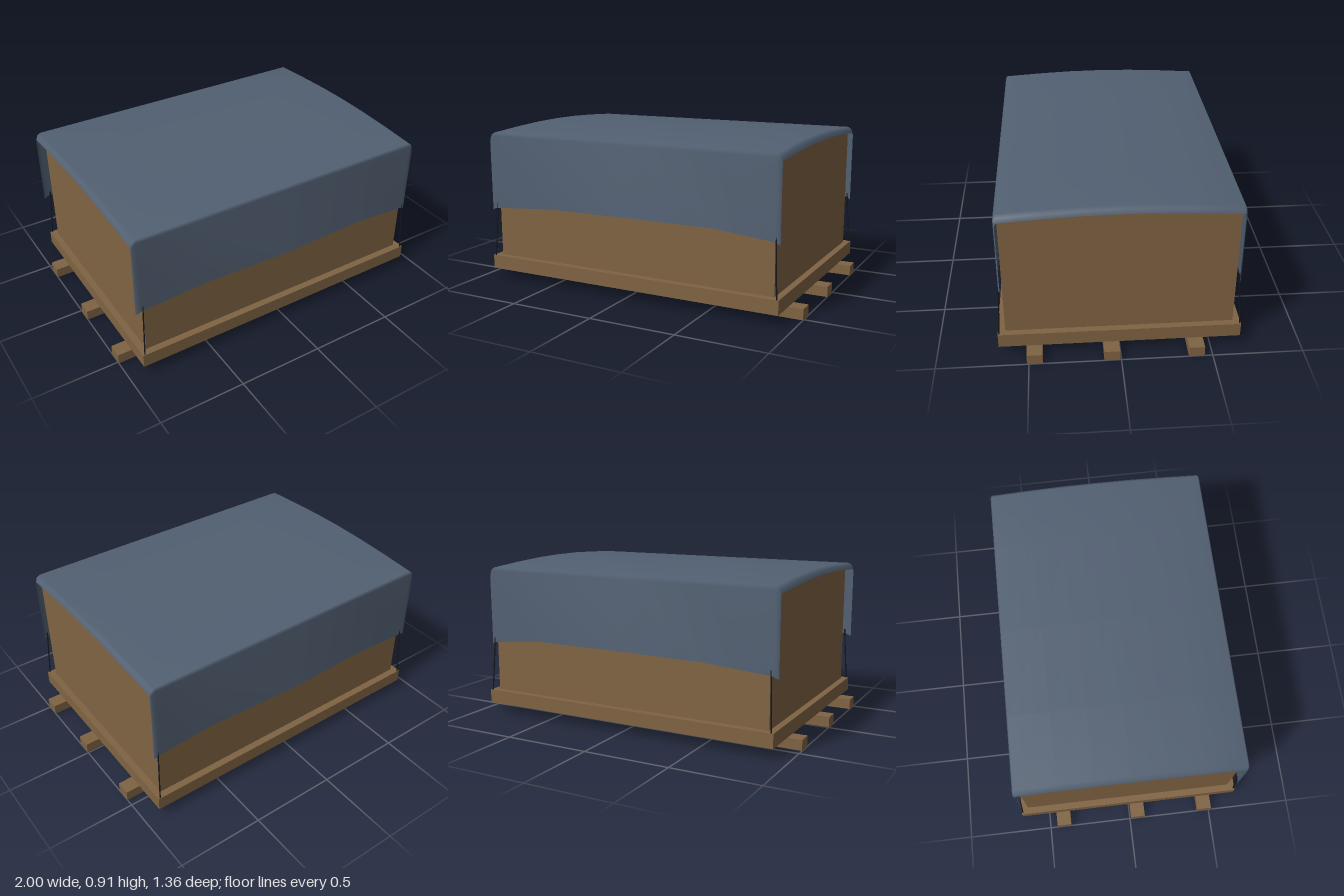
import * as THREE from 'three';

const wood = new THREE.MeshStandardMaterial({ color: 0x806443 });
wood.name = 'wood';
const tarp = new THREE.MeshStandardMaterial({ color: 0x526072, side: THREE.DoubleSide });
tarp.name = 'tarpBlue';
const dark = new THREE.MeshStandardMaterial({ color: 0x15181c });
dark.name = 'ropeDark';

// Tarp stations across the width: x, roof drop, hem height, hem bulge in z, inward fold
const columns = [
  [-0.93, 0.037, 0.415, 0.638, 0.006],
  [-0.92, 0.014, 0.42, 0.64, 0],
  [-0.9, 0, 0.43, 0.64, 0],
  [-0.5, 0, 0.463, 0.652, 0],
  [0, 0, 0.476, 0.68, 0],
  [0.54, 0, 0.47, 0.652, 0],
  [0.88, 0, 0.435, 0.64, 0],
  [0.9, 0.014, 0.425, 0.64, 0],
  [0.91, 0.037, 0.418, 0.638, 0.006],
];
// Arched roof section, z and y, from the front edge to the ridge
const roof = [[0.639, 0.865], [0.63, 0.884], [0.4, 0.899], [0.2, 0.908], [0, 0.911]];

function tarpGeometry() {
  const pos = [], index = [];
  for (const [x, drop, hemY, hemZ, fold] of columns) {
    const half = [[hemZ - fold, hemY], ...roof.map(([z, y]) => [Math.max(0, z - fold * (z > 0.6)), y - drop])];
    const mirrored = half.slice(0, -1).reverse().map(([z, y]) => [-z, y]);
    for (const [z, y] of [...half, ...mirrored]) pos.push(x, y, z);
  }
  const n = roof.length * 2 + 1;
  for (let i = 0; i < columns.length - 1; i++) {
    for (let j = 0; j < n - 1; j++) {
      const a = i * n + j, b = a + n;
      index.push(a, b, a + 1, b, b + 1, a + 1);
    }
  }
  const g = new THREE.BufferGeometry();
  g.setAttribute('position', new THREE.Float32BufferAttribute(pos, 3));
  g.setIndex(index);
  g.computeVertexNormals();
  return g;
}

export function createModel() {
  const group = new THREE.Group();
  const add = (name, geometry, material, x = 0, y = 0, z = 0) => {
    const mesh = new THREE.Mesh(geometry, material);
    mesh.name = name;
    mesh.position.set(x, y, z);
    group.add(mesh);
    return mesh;
  };

  // Three runners with dark blue undersides
  const runnerMaterials = [wood, wood, wood, tarp, wood, wood];
  for (const z of [0.468, 0.05, -0.412]) {
    add('runner', new THREE.BoxGeometry(2, 0.06, 0.086), runnerMaterials, 0, 0.03, z);
  }

  // Pallet deck
  add('deck', new THREE.BoxGeometry(1.835, 0.08, 1.325), wood, 0, 0.1, 0);

  // Crate body with an arched top, extruded along x
  const s = new THREE.Shape();
  s.moveTo(-0.622, 0.14);
  s.lineTo(0.622, 0.14);
  for (const [z, y] of [[0.622, 0.85], [0.4, 0.863], [0.2, 0.872], [0, 0.875], [-0.2, 0.872], [-0.4, 0.863], [-0.622, 0.85]]) s.lineTo(z, y);
  const body = new THREE.ExtrudeGeometry(s, { depth: 1.76, bevelEnabled: false });
  body.translate(0, 0, -0.88);
  body.rotateY(Math.PI / 2);
  add('crateBody', body, wood);

  // Tarp draped over front and back
  add('tarp', tarpGeometry(), tarp);

  // Tie-down ropes at the four corners
  for (const sx of [-1, 1]) {
    for (const sz of [-1, 1]) {
      const top = new THREE.Vector3(sx * 0.888, 0.46, sz * 0.637);
      const bottom = new THREE.Vector3(sx * 0.905, 0.13, sz * 0.657);
      add('rope', new THREE.TubeGeometry(new THREE.LineCurve3(bottom, top), 1, 0.004, 6), dark);
    }
  }
  return group;
}
